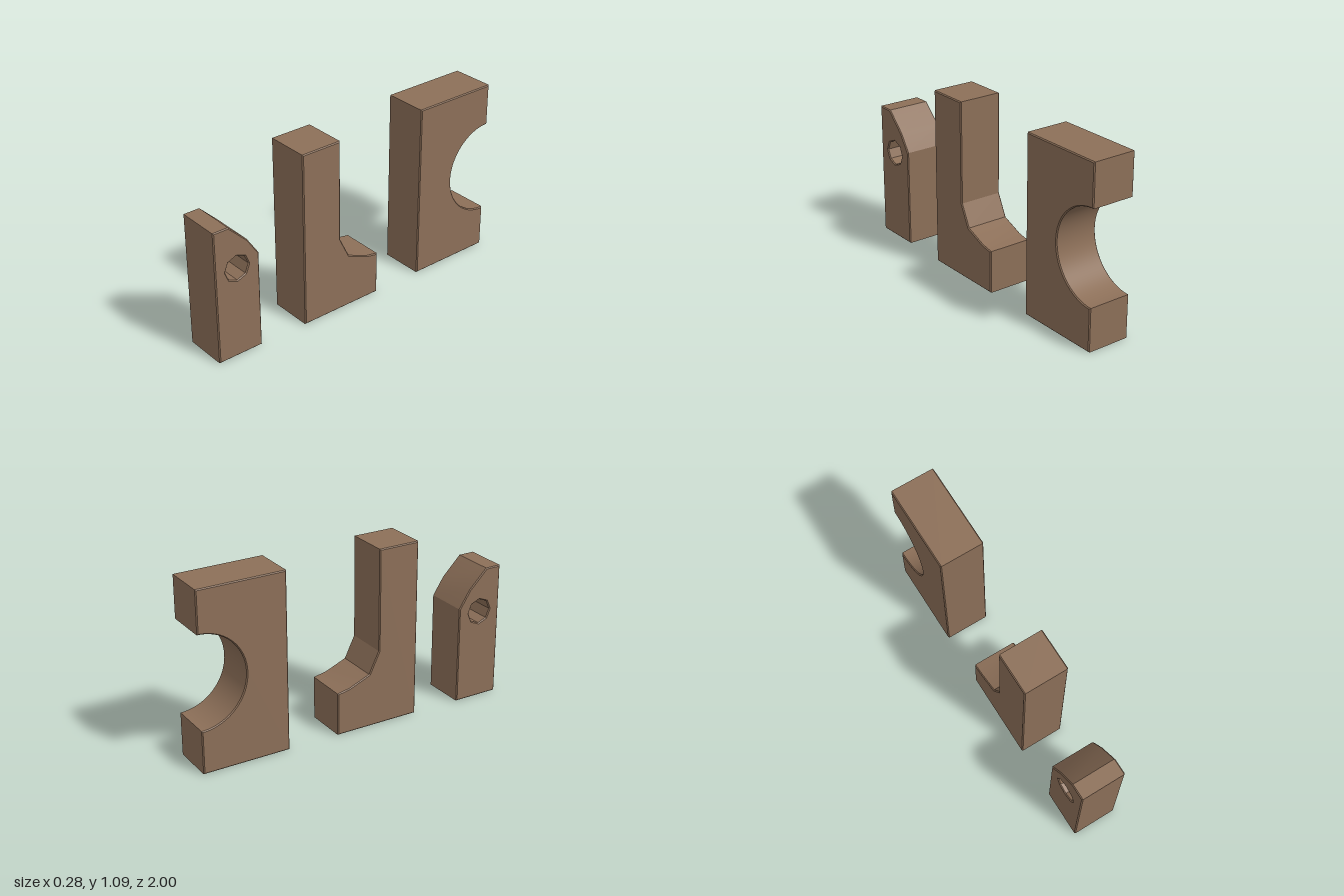
import * as THREE from 'three';
import { toCreasedNormals } from 'three/addons/utils/BufferGeometryUtils.js';

const BEVEL = 0.006;
const WIDTH = 0.276;

// Extrudes a side profile, drawn as (z, y), across x with a thin bevel.
function makeBlock(name, shape, centreX, material) {
  const geometry = new THREE.ExtrudeGeometry(shape, {
    depth: WIDTH - 2 * BEVEL,
    bevelEnabled: true,
    bevelThickness: BEVEL,
    bevelSize: BEVEL,
    bevelOffset: -BEVEL,
    bevelSegments: 1,
    curveSegments: 32,
  });
  geometry.translate(0, 0, BEVEL - WIDTH / 2);
  geometry.rotateY(-Math.PI / 2);
  const mesh = new THREE.Mesh(toCreasedNormals(geometry, 0.3), material);
  mesh.name = name;
  mesh.position.x = centreX;
  return mesh;
}

const polygon = (points) => new THREE.Shape(points.map(([z, y]) => new THREE.Vector2(z, y)));

export function createModel() {
  const group = new THREE.Group();
  group.name = 'blockSet';
  const brown = new THREE.MeshStandardMaterial({ color: 0x8c6f58 });
  brown.name = 'brown';

  // Front post with a sloped shoulder and an octagonal through hole
  const post = polygon([[0.711, 0], [1, 0], [1, 0.83], [0.9, 0.83], [0.782, 0.713], [0.711, 0.605]]);
  const hole = [];
  for (let i = 0; i < 8; i++) {
    const a = -i * Math.PI / 4;
    hole.push(new THREE.Vector2(0.857 + 0.077 * Math.cos(a), 0.563 + 0.077 * Math.sin(a)));
  }
  post.holes.push(new THREE.Path(hole));
  group.add(makeBlock('frontPost', post, -0.003, brown));

  // Middle L-shaped block with a stepped inner curve
  const ell = polygon([
    [-0.135, 0], [0.406, 0], [0.406, 1.093], [0.145, 1.093],
    [0.145, 0.468], [0.08, 0.335], [-0.055, 0.28], [-0.135, 0.265],
  ]);
  group.add(makeBlock('middleBlock', ell, 0.003, brown));

  // Rear block with a half-round cut in its back
  const rear = new THREE.Shape();
  rear.moveTo(-1, 0);
  rear.lineTo(-0.457, 0);
  rear.lineTo(-0.457, 1.093);
  rear.lineTo(-1, 1.093);
  rear.lineTo(-1, 0.835);
  rear.absarc(-1, 0.55, 0.285, Math.PI / 2, -Math.PI / 2, true);
  group.add(makeBlock('rearBlock', rear, 0.003, brown));

  return group;
}
